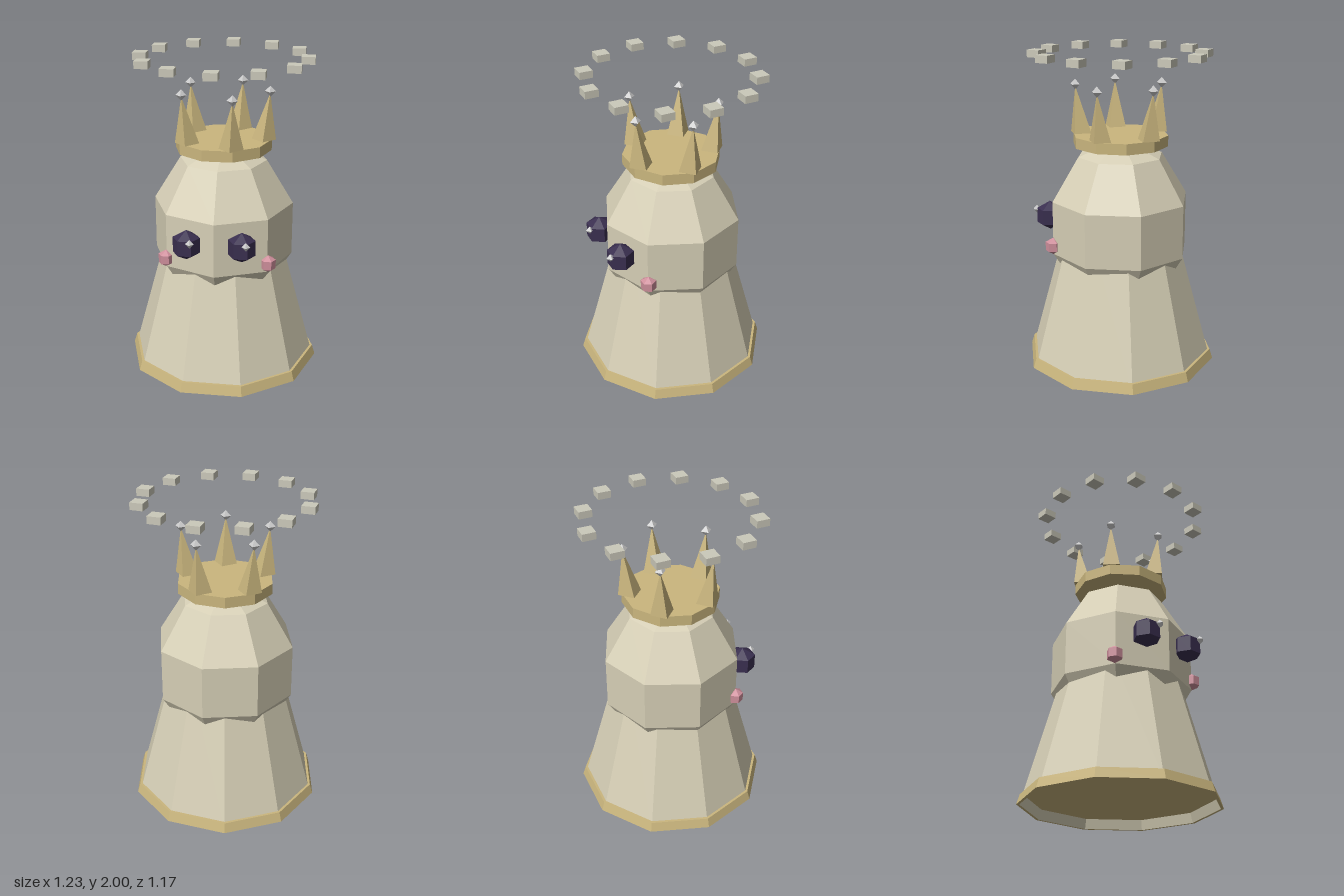
import * as THREE from 'three';

const material = (color, side = THREE.FrontSide) =>
  new THREE.MeshStandardMaterial({ color, flatShading: true, side });

const ivory = material(0xd6cfb6, THREE.DoubleSide);
const gold = material(0xcab67e, THREE.DoubleSide);
const stone = material(0xcbc9ba);
const grey = material(0xcccccc);
const dark = material(0x3a2f50);
const pink = material(0xcf8f9c);

export function createModel() {
  const model = new THREE.Group();

  const add = (name, geometry, mat, x = 0, y = 0, z = 0, parent = model) => {
    const mesh = new THREE.Mesh(geometry, mat);
    mesh.name = name;
    mesh.position.set(x, y, z);
    parent.add(mesh);
    return mesh;
  };
  const group = (name) => {
    const g = new THREE.Group();
    g.name = name;
    model.add(g);
    return g;
  };
  // Ten-sided turned part with corners on the x axis
  const decagon = (...profile) =>
    new THREE.LatheGeometry(profile.map(([r, y]) => new THREE.Vector2(r, y)), 10)
      .rotateY(Math.PI / 10);

  // Robe, open below, with a gold hem and a floor set inside it
  add('robe', decagon([0.597, 0], [0.35, 0.9]), ivory);
  add('hem', decagon([0.597, 0], [0.615, 0], [0.596, 0.062], [0, 0.062]), gold);

  // Head: tall faceted ball
  add('head', new THREE.SphereGeometry(0.463, 8, 5).scale(1, 1.19, 1), ivory, 0, 0.9, 0);

  // Face
  for (const [side, s] of [['left', 1], ['right', -1]]) {
    add(side + 'Eye', new THREE.SphereGeometry(0.095, 6, 3), dark, s * 0.167, 0.932, 0.426);
    add(side + 'EyeGlint', new THREE.OctahedronGeometry(0.027), grey, s * 0.167 + 0.033, 0.97, 0.505);
    add(side + 'Cheek', new THREE.SphereGeometry(0.055, 6, 3), pink, s * 0.315, 0.785, 0.31);
  }

  // Crown: band, five outward-leaning spikes and their gems
  const crown = group('crown');
  add('crownBand', new THREE.CylinderGeometry(0.3, 0.3, 0.068, 10).rotateY(Math.PI / 10),
    gold, 0, 1.446, 0, crown);
  for (let i = 0; i < 5; i++) {
    const a = (i / 5) * Math.PI * 2;
    const c = Math.cos(a), s = Math.sin(a);
    const spike = new THREE.ConeGeometry(0.075, 0.29, 4).translate(0, 0.145, 0);
    const lean = 0.12;
    spike.applyMatrix4(new THREE.Matrix4().set(
      1, lean * c, 0, 0,
      0, 1, 0, 0,
      0, lean * s, 1, 0,
      0, 0, 0, 1));
    add('crownSpike', spike, gold, 0.25 * c, 1.479, 0.25 * s, crown);
    add('crownGem', new THREE.OctahedronGeometry(0.034), grey, 0.285 * c, 1.78, 0.285 * s, crown);
  }

  // Halo: ring of twelve floating blocks, all square to the axes
  const halo = group('halo');
  const block = new THREE.BoxGeometry(0.083, 0.045, 0.083);
  for (let i = 0; i < 12; i++) {
    const a = (i / 12) * Math.PI * 2;
    add('haloBlock', block, stone, 0.508 * Math.cos(a), 1.9775, 0.508 * Math.sin(a), halo);
  }

  return model;
}
